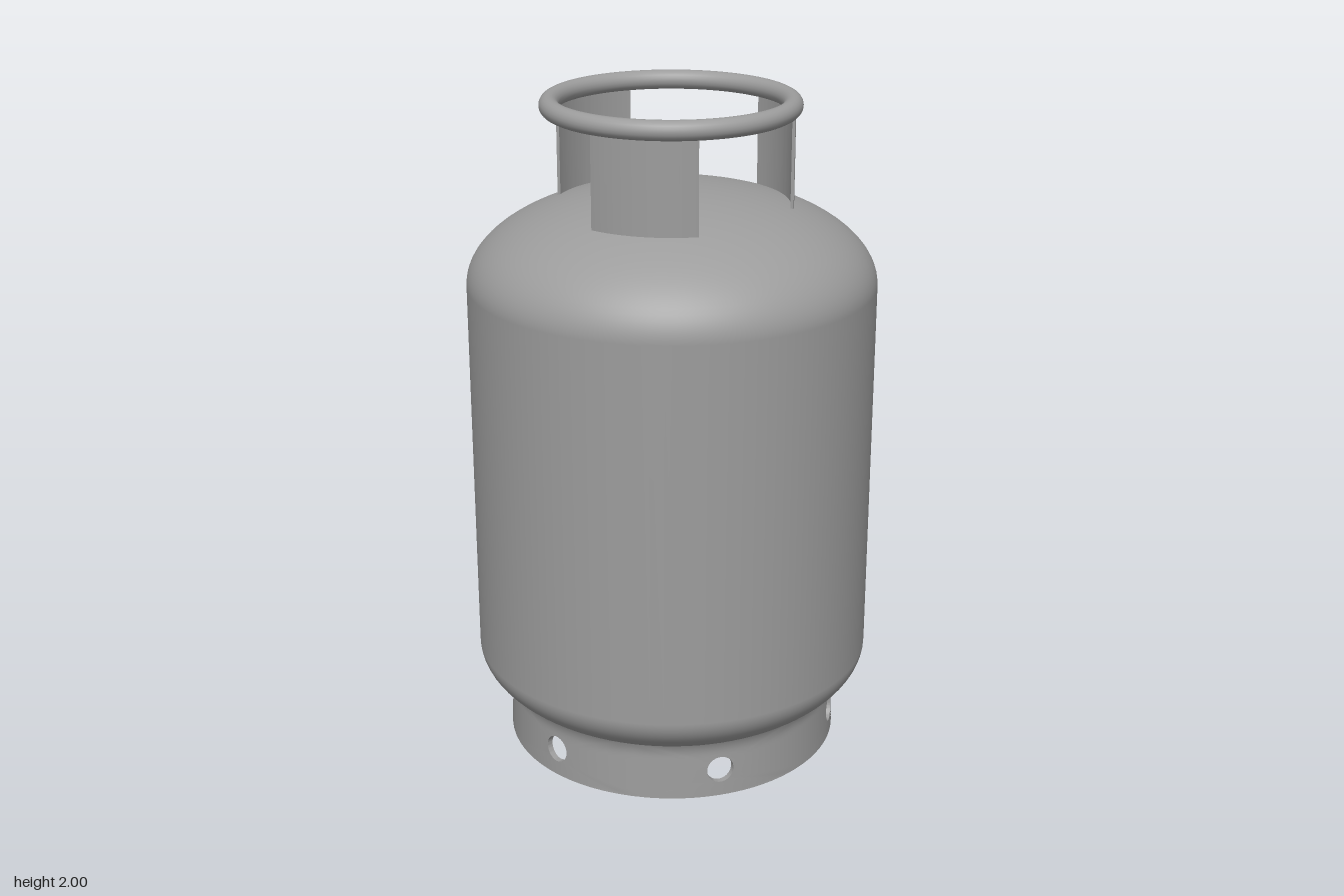
import * as THREE from 'three';
import { mergeGeometries, toCreasedNormals } from 'three/addons/utils/BufferGeometryUtils.js';
import { ParametricGeometry } from 'three/addons/geometries/ParametricGeometry.js';

const material = new THREE.MeshStandardMaterial({ color: 0x9c9c9c });

function addMesh(parent, name, geometry) {
  const mesh = new THREE.Mesh(geometry, material);
  mesh.name = name;
  parent.add(mesh);
  return mesh;
}

// Pressure vessel: straight wall between two elliptical domes
function tankGeometry() {
  const radius = 0.6, steps = 28, points = [];
  for (let i = 0; i <= steps; i++) {
    const a = (i / steps) * Math.PI / 2;
    points.push(new THREE.Vector2(radius * Math.sin(a), 0.305 - 0.235 * Math.cos(a)));
  }
  for (let i = 0; i <= steps; i++) {
    const a = (i / steps) * Math.PI / 2;
    points.push(new THREE.Vector2(radius * Math.cos(a), 1.45 + 0.28 * Math.sin(a)));
  }
  points[0].x = points[points.length - 1].x = 0;
  return new THREE.LatheGeometry(points, 96);
}

// Foot ring: six bent panels, each with a round hole
function footRingGeometry() {
  const holeY = 0.085, holeR = 0.041, top = 0.19, thick = 0.018, rows = 6;
  const halfAngle = Math.PI / 6, baseR = 0.508;
  const outerRadius = (y) =>
    baseR - 0.005 * Math.min(y / 0.14, 1) + 0.014 * Math.max(0, (y - 0.14) / 0.05) ** 2;

  const panel = (centre) => new ParametricGeometry((u, v, target) => {
    const row = Math.round(v * (2 * rows + 1));
    const outside = row > rows;
    const t = outside ? (row - rows - 1) / rows : (rows - row) / rows;
    // blend from the hole's circle to the panel's rectangle
    const a = -u * Math.PI * 2;
    const c = Math.cos(a), s = Math.sin(a), m = Math.max(Math.abs(c), Math.abs(s));
    const theta = THREE.MathUtils.lerp(c * holeR / baseR, (c / m) * halfAngle, t);
    const edgeY = (s / m + 1) / 2 * top;
    const y = THREE.MathUtils.lerp(holeY + s * holeR, edgeY, t);
    const r = outerRadius(y) - (outside ? 0 : thick);
    target.set(r * Math.sin(centre + theta), y, r * Math.cos(centre + theta));
  }, 64, 2 * rows + 1);

  const parts = [];
  for (let i = 0; i < 6; i++) parts.push(panel((i + 0.5) * Math.PI / 3));
  parts.push(new THREE.RingGeometry(baseR - thick, baseR, 96).rotateX(Math.PI / 2));
  return toCreasedNormals(mergeGeometries(parts), 0.6);
}

// Curved upright plate, centred on the -z side
function plateGeometry() {
  const half = 0.445, mid = Math.PI / 2, bottom = 1.671, height = 0.29;
  const shape = new THREE.Shape();
  shape.absarc(0, 0, 0.353, mid - half, mid + half, false);
  shape.absarc(0, 0, 0.344, mid + half, mid - half, true);
  shape.closePath();
  const geometry = new THREE.ExtrudeGeometry(shape, { depth: height, bevelEnabled: false, curveSegments: 20 });
  geometry.rotateX(-Math.PI / 2).translate(0, bottom, 0);
  return toCreasedNormals(geometry, 0.6);
}

// Valve: flange, stem and knob in one turned profile
function valveGeometry() {
  const profile = [
    [0, 1.715], [0.072, 1.715], [0.074, 1.738], [0.068, 1.747], [0.048, 1.75],
    [0.046, 1.765], [0.046, 1.808], [0.058, 1.82], [0.073, 1.832], [0.076, 1.84],
    [0.076, 1.854], [0.072, 1.862], [0.063, 1.867], [0.058, 1.869], [0, 1.869],
  ].map(([x, y]) => new THREE.Vector2(x, y));
  return toCreasedNormals(new THREE.LatheGeometry(profile, 48), 0.6);
}

export function createModel() {
  const model = new THREE.Group();
  model.name = 'gasCylinder';

  addMesh(model, 'tank', tankGeometry());
  addMesh(model, 'footRing', footRingGeometry()).position.set(0.003, 0, -0.003);
  addMesh(model, 'valve', valveGeometry());

  // Carrying collar: a round rail on three plates
  const collar = new THREE.Group();
  collar.name = 'collar';
  model.add(collar);

  const rail = new THREE.TorusGeometry(0.347, 0.0285, 20, 96).rotateX(Math.PI / 2);
  addMesh(collar, 'handleRail', rail).position.set(-0.004, 1.9715, 0);

  const plate = plateGeometry();
  ['backPlate', 'frontRightPlate', 'frontLeftPlate'].forEach((name, i) => {
    const mesh = addMesh(collar, name, plate);
    mesh.rotation.y = i * Math.PI * 2 / 3;
    mesh.position.x = -0.001;
  });

  return model;
}
